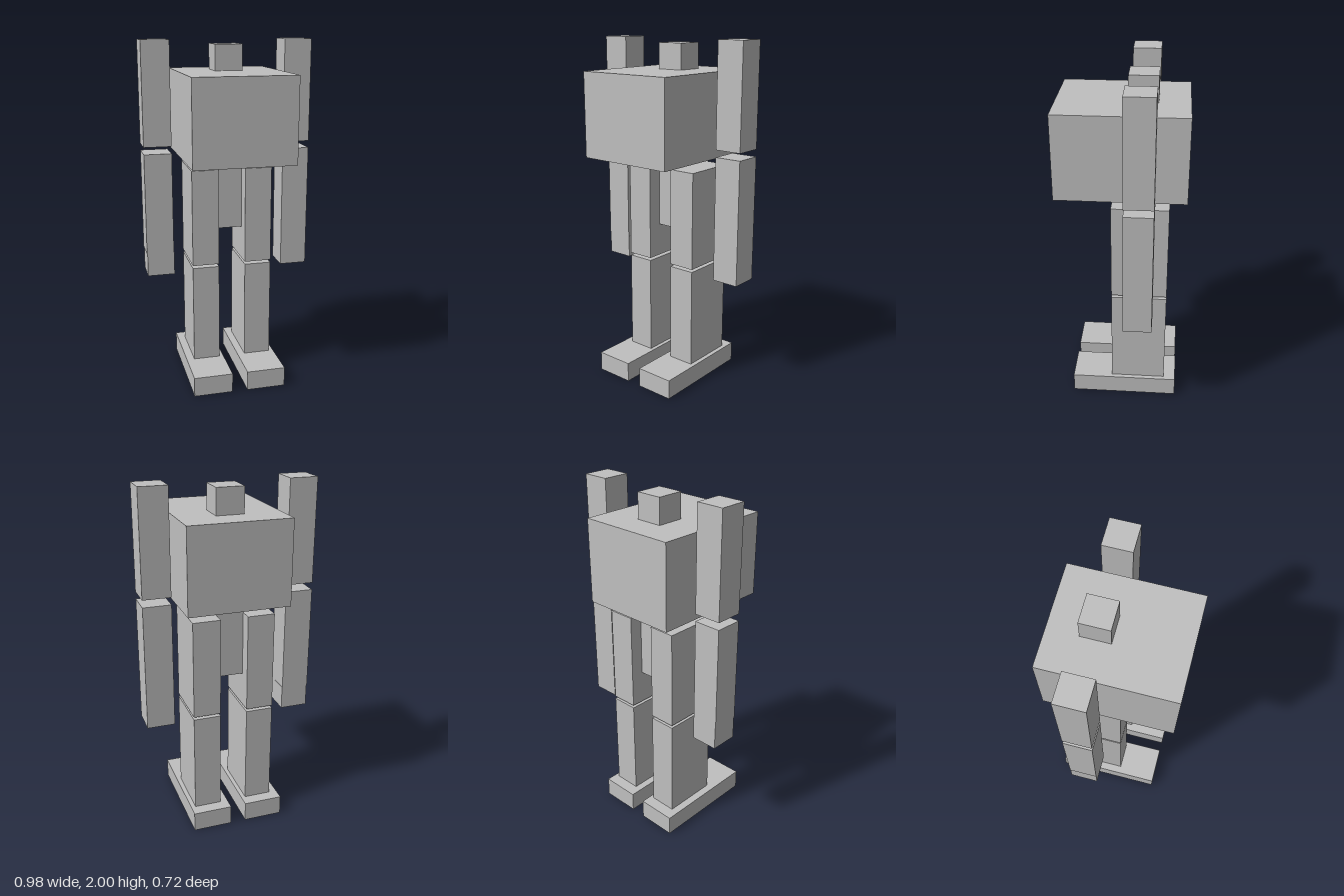
import * as THREE from 'three';

export function createModel() {
  const model = new THREE.Group();
  model.name = 'blockRobot';
  const grey = new THREE.MeshStandardMaterial({ color: 0xc0c0c0 });
  grey.name = 'grey';

  // Box given by its extents along each axis
  function block(parent, name, [x0, x1], [y0, y1], [z0, z1]) {
    const mesh = new THREE.Mesh(new THREE.BoxGeometry(x1 - x0, y1 - y0, z1 - z0), grey);
    mesh.position.set((x0 + x1) / 2, (y0 + y1) / 2, (z0 + z1) / 2);
    mesh.name = name;
    parent.add(mesh);
  }

  const limbZ = [-0.19, -0.03];
  const legZ = [-0.266, 0.054];

  // Torso, with the spine running through it from the hips to the head
  block(model, 'torso', [-0.286, 0.29], [1.35, 1.828], [-0.36, 0.357]);
  block(model, 'spineAndHead', [-0.077, 0.081], [0.91, 1.974], limbZ);

  // Limbs; the right side sits slightly differently from the left
  const sides = [
    { side: 'left', arm: [0.33, 0.489], hand: [0.33, 0.489], handY: 0.651,
      leg: [0.08, 0.238], foot: [0.037, 0.264] },
    { side: 'right', arm: [-0.49, -0.331], hand: [-0.487, -0.329], handY: 0.645,
      leg: [-0.234, -0.077], foot: [-0.28, -0.053] },
  ];
  for (const { side, arm, hand, handY, leg, foot } of sides) {
    const armGroup = new THREE.Group();
    armGroup.name = side + 'Arm';
    block(armGroup, side + 'UpperArm', arm, [1.412, 2], limbZ);
    block(armGroup, side + 'Forearm', arm, [0.78, 1.371], limbZ);
    block(armGroup, side + 'Hand', hand, [handY, 0.78], limbZ);

    const legGroup = new THREE.Group();
    legGroup.name = side + 'Leg';
    block(legGroup, side + 'Thigh', leg, [0.715, 1.281], legZ);
    block(legGroup, side + 'Shin', leg, [0.115, 0.699], legZ);
    block(legGroup, side + 'Foot', foot, [0, 0.115], [-0.335, 0.29]);
    model.add(armGroup, legGroup);
  }
  return model;
}
